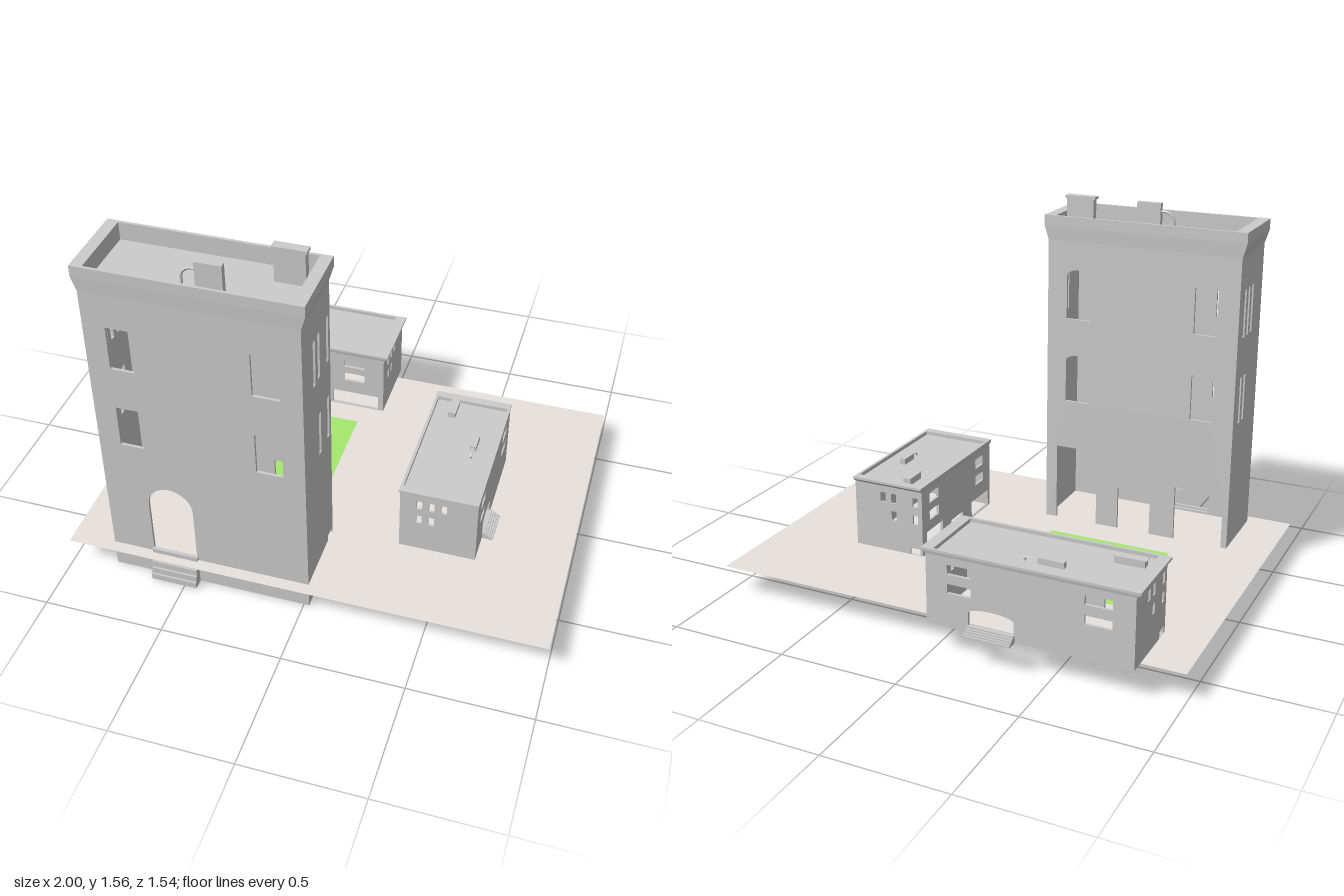
import * as THREE from 'three';

const grey = new THREE.MeshStandardMaterial({ color: 0xcccccc, flatShading: true, side: THREE.DoubleSide });
const paving = new THREE.MeshStandardMaterial({ color: 0xe8e2dd, side: THREE.DoubleSide });
const grass = new THREE.MeshStandardMaterial({ color: 0xa5e86f, side: THREE.DoubleSide });

const W = 0.42, D = 0.16, WALL_H = 1.4, T = 0.012;

function add(parent, name, geometry, x = 0, y = 0, z = 0, material = grey) {
  const mesh = new THREE.Mesh(geometry, material);
  mesh.name = name;
  mesh.position.set(x, y, z);
  parent.add(mesh);
  return mesh;
}

// opening from u0 to u1 and y0 to y1, its top rounded by the given rise
function opening([u0, u1, y0, y1, rise = 0]) {
  const p = new THREE.Path();
  p.moveTo(u0, y0);
  p.lineTo(u1, y0);
  p.lineTo(u1, y1 - rise);
  if (rise) p.absellipse((u0 + u1) / 2, y1 - rise, (u1 - u0) / 2, rise, 0, Math.PI, false);
  else p.lineTo(u0, y1);
  p.lineTo(u0, y0);
  return p;
}

// flat wall facing outwards at the given distance and turn
function addWall(parent, name, half, holes, distance, turn) {
  const s = new THREE.Shape();
  s.moveTo(-half, 0);
  s.lineTo(half, 0);
  s.lineTo(half, WALL_H);
  s.lineTo(-half, WALL_H);
  s.closePath();
  s.holes = holes.map(opening);
  const g = new THREE.ExtrudeGeometry(s, { depth: T, bevelEnabled: false, curveSegments: 10 });
  g.translate(0, 0, distance - T);
  g.rotateY(turn);
  add(parent, name, g);
}

// rectangular rings [halfX, halfZ, y] joined into a skin, the last ring capped
function ringSkin(rings) {
  const pos = [], idx = [];
  for (const [x, z, y] of rings) pos.push(x, y, z, x, y, -z, -x, y, -z, -x, y, z);
  for (let r = 0; r < rings.length - 1; r++) {
    for (let i = 0; i < 4; i++) {
      const a = r * 4 + i, b = r * 4 + (i + 1) % 4;
      idx.push(a, b, b + 4, a, b + 4, a + 4);
    }
  }
  const n = (rings.length - 1) * 4;
  idx.push(n, n + 1, n + 2, n, n + 2, n + 3);
  const g = new THREE.BufferGeometry();
  g.setAttribute('position', new THREE.Float32BufferAttribute(pos, 3));
  g.setIndex(idx);
  const flat = g.toNonIndexed();
  flat.computeVertexNormals();
  return flat;
}

function createBuilding(name) {
  const b = new THREE.Group();
  b.name = name;
  const floors = [[0.675, 0.86], [1.045, 1.235]];

  // front and back walls with paired windows
  const front = [[-0.243, -0.055, 0.13, 0.48, 0.1]];
  const back = [[-0.37, -0.18, 0.02, 0.46], [-0.08, 0.07, 0.02, 0.31], [0.18, 0.395, 0.02, 0.36]];
  for (const [y0, y1] of floors) {
    for (const [u0, u1] of [[-0.33, -0.232], [0.225, 0.333]]) {
      front.push([u0, u1, y0, y1]);
      back.push([-u1, -u0, y0, y1 + 0.025, 0.025]);
    }
  }
  addWall(b, 'frontWall', W, front, D, 0);
  addWall(b, 'backWall', W, back, D, Math.PI);

  // end walls with slit windows, three above and two below
  const slit = (u, [y0, y1]) => [u - 0.012, u + 0.012, y0 - 0.01, y1 + 0.005, 0.006];
  const leftEnd = [[0.1, 0.155, 0.004, 0.145]], rightEnd = [];
  for (const u of [-0.027, 0.025, 0.127]) leftEnd.push(slit(u, floors[1]));
  for (const u of [0.025, 0.127]) leftEnd.push(slit(u, floors[0]));
  for (const u of [-0.08, -0.029, 0.022]) rightEnd.push(slit(u, floors[1]));
  for (const u of [-0.08, -0.029]) rightEnd.push(slit(u, floors[0]));
  addWall(b, 'leftWall', D, leftEnd, W, Math.PI / 2);
  addWall(b, 'rightWall', D, rightEnd, W, -Math.PI / 2);

  // flared cornice, parapet and sunken roof
  add(b, 'parapetAndRoof', ringSkin([
    [W, D, 1.38], [0.438, 0.163, 1.44], [0.438, 0.163, 1.485],
    [0.39, 0.151, 1.485], [0.39, 0.151, 1.41],
  ]));

  // chimney with a cap
  add(b, 'chimney', new THREE.BoxGeometry(0.12, 0.14, 0.032), 0.31, 1.48, -0.07);
  add(b, 'chimneyCap', new THREE.BoxGeometry(0.134, 0.012, 0.038), 0.31, 1.554, -0.07);

  // roof vent with a curved pipe
  add(b, 'roofVent', new THREE.BoxGeometry(0.105, 0.12, 0.025), 0.055, 1.47, 0.065);
  const bend = new THREE.CatmullRomCurve3([
    [0.01, 1.495], [-0.025, 1.492], [-0.05, 1.47], [-0.055, 1.41],
  ].map(([x, y]) => new THREE.Vector3(x, y, 0.065)));
  add(b, 'ventPipe', new THREE.TubeGeometry(bend, 12, 0.006, 6));

  // entrance steps
  for (let i = 0; i < 5; i++) {
    const depth = 0.046 - i * 0.0085, h = 0.028;
    add(b, 'entranceStep', new THREE.BoxGeometry(0.195, h, depth), -0.148, h * (i + 0.5), D + depth / 2);
  }
  return b;
}

export function createModel() {
  const model = new THREE.Group();
  model.name = 'courtyardBlock';

  // ground and lawn
  add(model, 'ground', new THREE.PlaneGeometry(2, 1.43).rotateX(-Math.PI / 2), 0, 0.12, 0.045, paving);
  add(model, 'lawn', new THREE.PlaneGeometry(0.54, 0.535).rotateX(-Math.PI / 2), -0.345, 0.123, -0.033, grass);

  // one building design, placed three times
  for (const [name, x, y, z, turn, sx, sy] of [
    ['tallBuilding', -0.398, 0, 0.55, 0, 1, 1],
    ['backBuilding', -0.405, 0.12, -0.57, Math.PI, 1, 0.21],
    ['sideBuilding', 0.467, 0.12, 0.075, Math.PI / 2, 0.745, 0.21],
  ]) {
    const b = createBuilding(name);
    b.position.set(x, y, z);
    b.rotation.y = turn;
    b.scale.set(sx, sy, 1);
    model.add(b);
  }
  return model;
}
